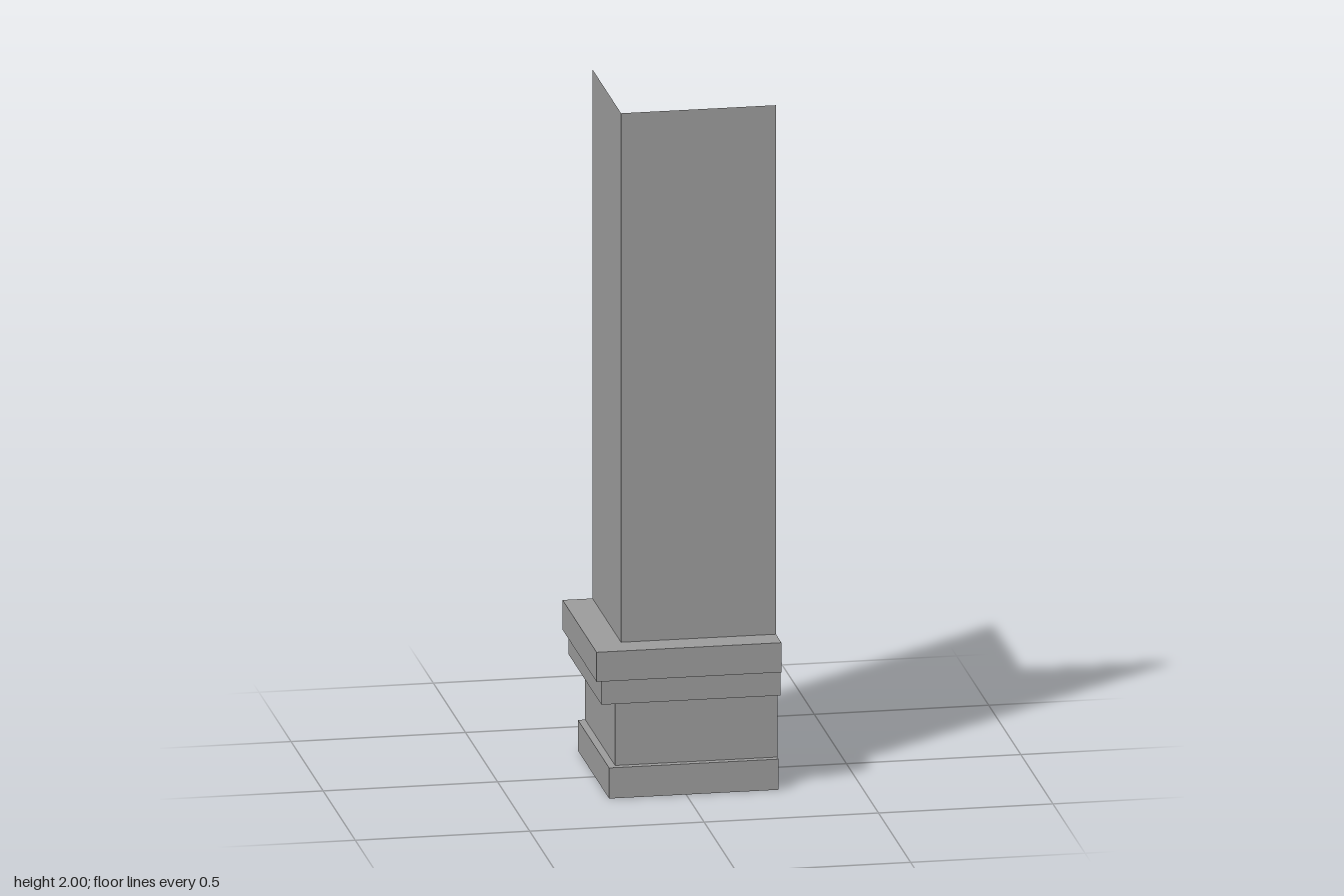
import * as THREE from 'three';

const END = 0.265;   // open ends of both wings
const WALL = 0.179;  // distance of the wall planes from the centre

const material = new THREE.MeshStandardMaterial({
  color: 0x9b9b9b, flatShading: true, side: THREE.DoubleSide,
});

// Sweeps a profile of [offset, height] points round the L-shaped corner, mitred.
function sweepCorner(name, profile) {
  const path = ([o, y]) => [[-o, y, -END], [-o, y, o], [END, y, o]];
  const positions = [];
  for (let j = 0; j < profile.length - 1; j++) {
    const low = path(profile[j]), high = path(profile[j + 1]);
    for (let i = 0; i < 2; i++) {
      const quad = [low[i], low[i + 1], high[i + 1], low[i], high[i + 1], high[i]];
      positions.push(...quad.flat());
    }
  }
  const geometry = new THREE.BufferGeometry();
  geometry.setAttribute('position', new THREE.Float32BufferAttribute(positions, 3));
  geometry.computeVertexNormals();
  const mesh = new THREE.Mesh(geometry, material);
  mesh.name = name;
  return mesh;
}

export function createModel() {
  const group = new THREE.Group();
  group.name = 'cornerPilaster';

  // Two thin walls meeting at the corner
  group.add(sweepCorner('cornerWalls', [[WALL, 0], [WALL, 2]]));

  // Plinth strip at the floor
  group.add(sweepCorner('plinth', [[WALL, 0], [0.221, 0], [0.221, 0.09], [0.2, 0.09]]));

  // Flat panel between plinth and cap
  group.add(sweepCorner('panel', [[0.2, 0.09], [0.2, 0.285]]));

  // Stepped cap moulding
  group.add(sweepCorner('capMoulding', [
    [0.2, 0.285], [0.248, 0.285], [0.248, 0.358],
    [END, 0.358], [END, 0.445], [WALL, 0.445],
  ]));

  return group;
}
